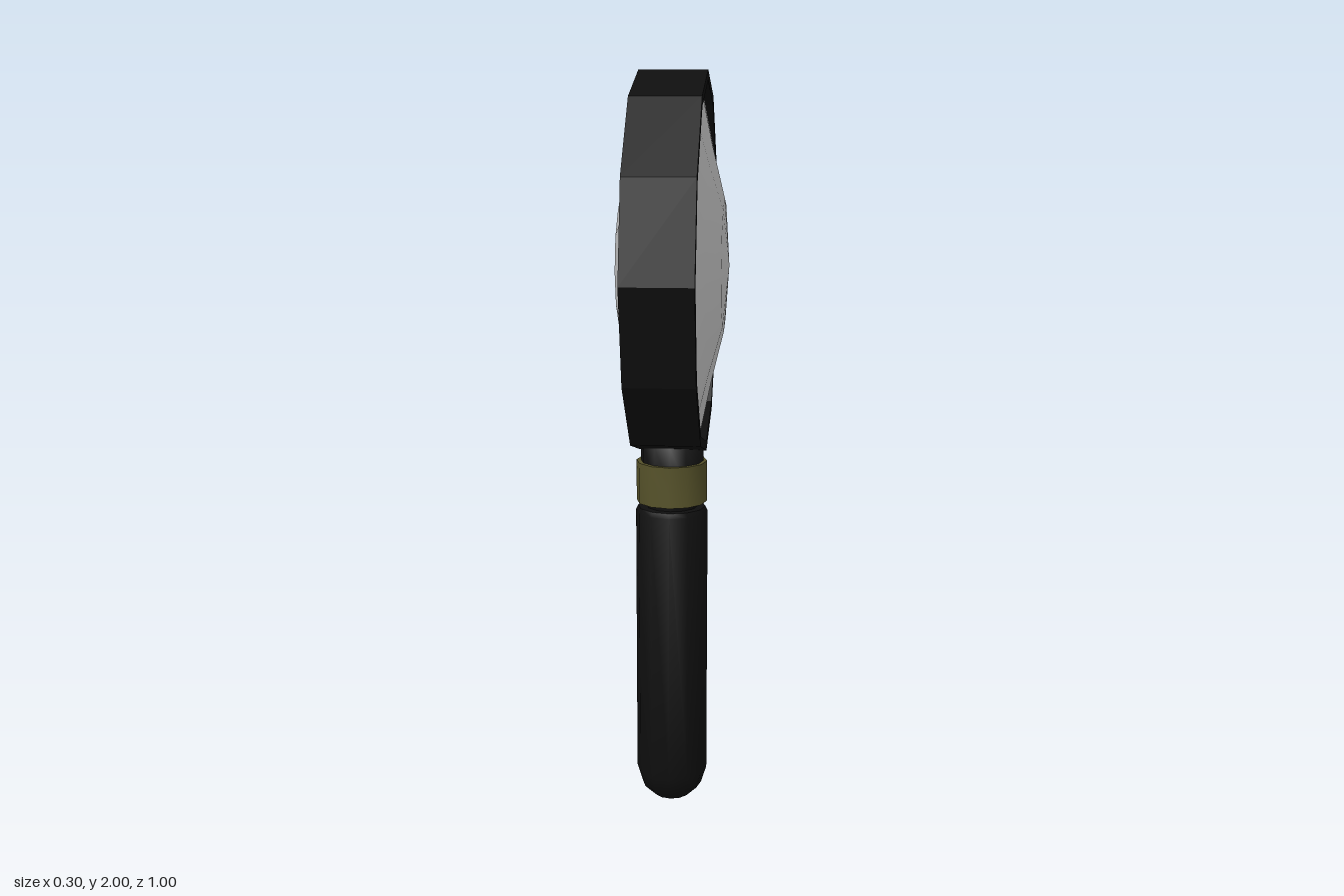
import * as THREE from 'three';
import { toCreasedNormals } from 'three/addons/utils/BufferGeometryUtils.js';

const SIDES = 12;
const HEAD_Y = 1.5;

// Spins a profile of [radius, height] pairs, listed from bottom to top.
function lathe(points, sides = SIDES) {
  return new THREE.LatheGeometry(points.map(([r, h]) => new THREE.Vector2(r, h)), sides);
}

export function createModel() {
  const model = new THREE.Group();
  const black = new THREE.MeshStandardMaterial({ color: 0x0f0f0f });
  const rimBlack = new THREE.MeshStandardMaterial({ color: 0x0f0f0f, flatShading: true });
  const brass = new THREE.MeshStandardMaterial({ color: 0x56522a });
  const glass = new THREE.MeshStandardMaterial({ color: 0xcccccc });

  function add(name, geometry, material, x = 0, y = 0) {
    const mesh = new THREE.Mesh(geometry, material);
    mesh.name = name;
    mesh.position.set(x, y, 0);
    model.add(mesh);
  }

  // Twelve-sided rim, its axis along x
  const rim = lathe([[0.474, -0.09], [0.5, -0.09], [0.5, 0.09], [0.474, 0.09], [0.474, -0.09]]);
  add('rim', rim.rotateZ(-Math.PI / 2), rimBlack, 0, HEAD_Y);

  // Two domed faces of the lens, set slightly inside the rim
  for (const [name, side] of [['leftLens', 1], ['rightLens', -1]]) {
    const dome = lathe([[0.475, 0.068], [0.31, 0.102], [0.174, 0.135], [0, 0.148]]);
    add(name, dome.rotateZ(-side * Math.PI / 2), glass, 0, HEAD_Y);
  }

  // Neck running from inside the handle up to the rim
  add('neck', lathe([[0.07, 0.8], [0.07, 0.9], [0.085, 0.92], [0.085, 1.025], [0, 1.025]]), black, -0.003);

  // Metal collar
  const collar = lathe([[0, 0.86], [0.096, 0.86], [0.096, 0.972], [0, 0.972]]);
  add('collar', toCreasedNormals(collar, 0.7), brass, -0.004);

  // Handle with a rounded end
  const handle = lathe([[0, 0], [0.05, 0], [0.083, 0.032], [0.098, 0.08], [0.098, 0.832], [0.092, 0.845], [0, 0.845]]);
  add('handle', toCreasedNormals(handle, 0.8), black, -0.004);

  return model;
}
